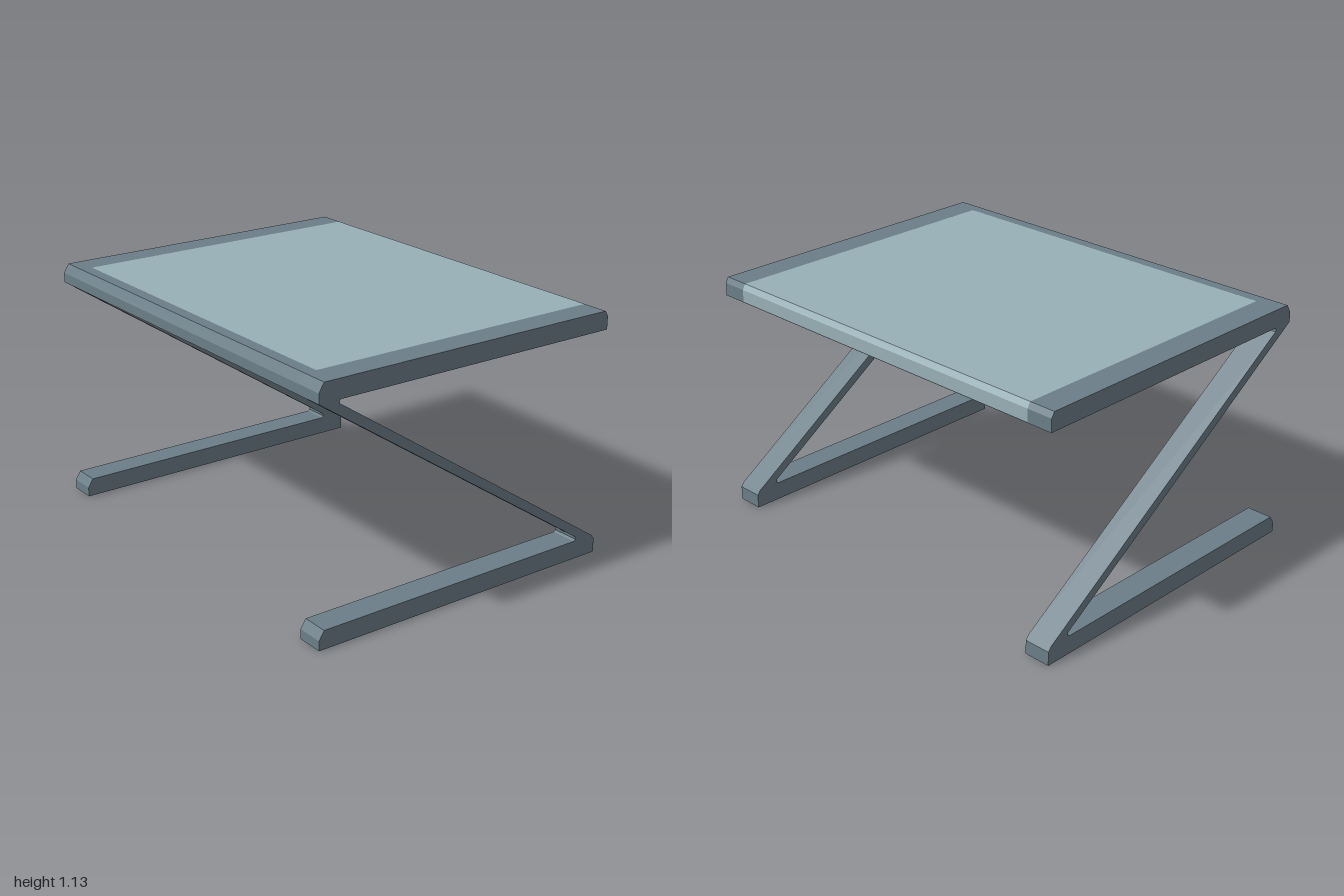
import * as THREE from 'three';

const frameMaterial = new THREE.MeshStandardMaterial({ color: 0x6b7e88, flatShading: true });
const panelMaterial = new THREE.MeshStandardMaterial({ color: 0x98b0b8, flatShading: true });

// Extrudes an x-y profile along z, starting at z0
function extrude(name, points, z0, depth, material) {
  const shape = new THREE.Shape(points.map(([x, y]) => new THREE.Vector2(x, y)));
  const geometry = new THREE.ExtrudeGeometry(shape, { depth, bevelEnabled: false });
  geometry.translate(0, 0, z0);
  const mesh = new THREE.Mesh(geometry, material);
  mesh.name = name;
  return mesh;
}

export function createModel() {
  const group = new THREE.Group();
  group.name = 'zTable';

  const half = 0.76, inner = 0.875, railWidth = 0.125;
  const topY = 1.13, underY = 1.045, panelX = -0.68, plate = 0.004;

  // Z-shaped side: foot, diagonal brace and top rail in one outline
  const side = [
    [-0.76, 0], [0.76, 0], [0.76, 0.065], [0.745, 0.085],
    [-0.66, 1.028], [-0.663, 1.04], [-0.655, underY],
    [half, underY], [half, 1.105], [0.745, topY],
    [-0.735, topY], [-half, 1.09], [-half, underY],
    [0.643, 0.105], [0.645, 0.092], [0.635, 0.085],
    [-0.735, 0.085], [-0.76, 0.045],
  ];
  group.add(extrude('frontSideFrame', side, inner, railWidth, frameMaterial));
  group.add(extrude('backSideFrame', side, -inner - railWidth, railWidth, frameMaterial));

  // Chamfered rail joining the two sides
  group.add(extrude('crossRail', [
    [-half, underY], [panelX, underY], [panelX, topY], [-0.735, topY], [-half, 1.09],
  ], -inner, 2 * inner, frameMaterial));

  // Inset table top, chamfered along its open end
  group.add(extrude('topPanel', [
    [panelX, underY + plate], [half, underY + plate], [half, 1.105], [0.745, topY], [panelX, topY],
  ], -inner, 2 * inner, panelMaterial));

  // Thin sheet closing the underside
  group.add(extrude('undersidePlate', [
    [panelX, underY], [half, underY], [half, underY + plate], [panelX, underY + plate],
  ], -inner, 2 * inner, frameMaterial));

  return group;
}
